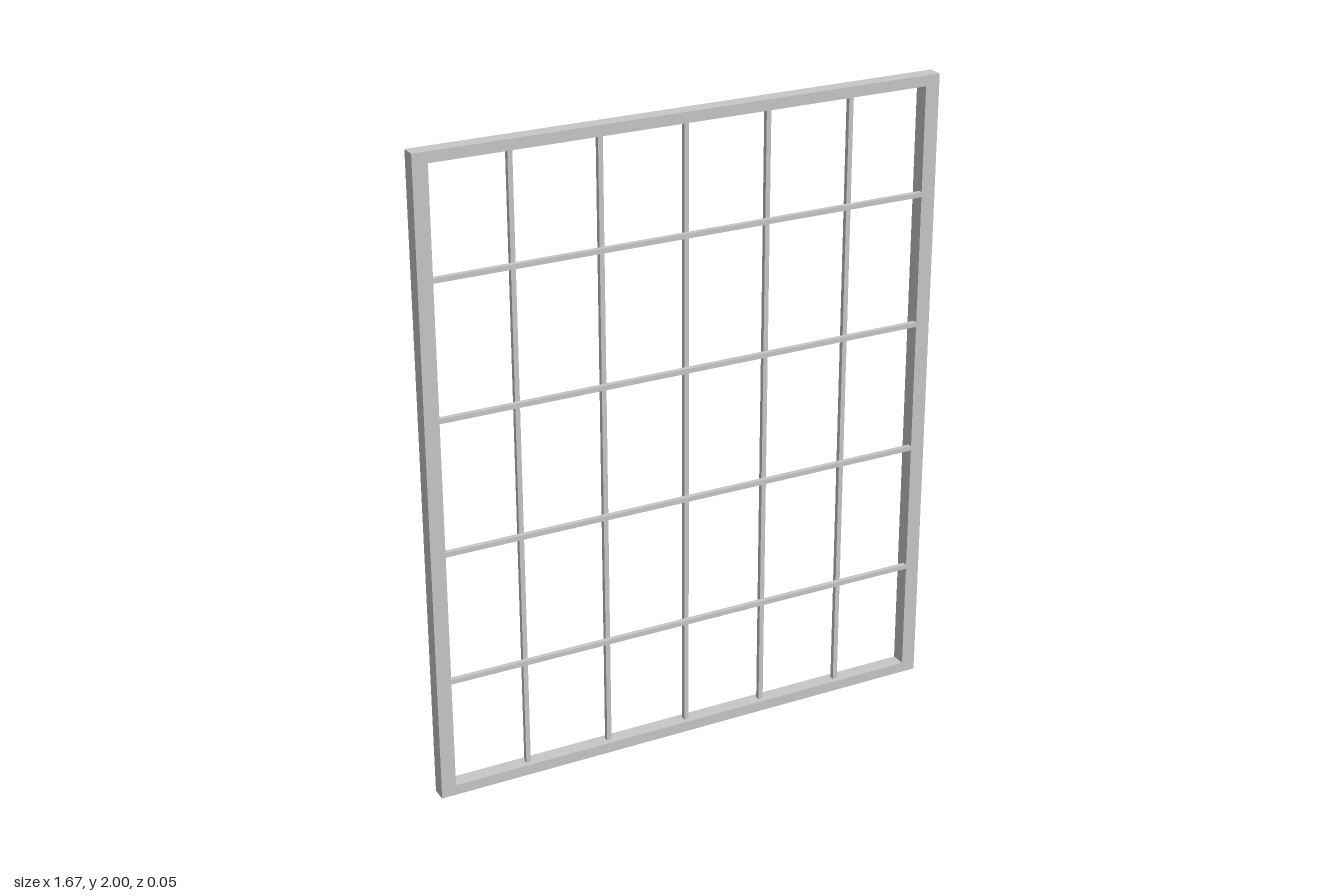
import * as THREE from 'three';

export function createModel() {
  const model = new THREE.Group();
  model.name = 'windowGrille';
  const grey = new THREE.MeshStandardMaterial({ color: 0xc8c8c8 });
  grey.name = 'lightGrey';

  const W = 0.833, H = 2, D = 0.048;   // half width, height, depth
  const stile = 0.046, rail = 0.033, bar = 0.015;
  const inner = W - stile;

  function box(name, w, h, d, x, y, z) {
    const mesh = new THREE.Mesh(new THREE.BoxGeometry(w, h, d), grey);
    mesh.name = name;
    mesh.position.set(x, y, z);
    model.add(mesh);
  }

  // Outer frame
  box('leftStile', stile, H, D, W - stile / 2, H / 2, 0);
  box('rightStile', stile, H, D, -W + stile / 2, H / 2, 0);
  box('topRail', inner * 2, rail, D, 0, H - rail / 2, 0);
  box('bottomRail', inner * 2, rail, D, 0, rail / 2, 0);

  // Thin glazing bars: horizontals near the front, verticals just behind them
  const frontZ = D / 2 - bar / 2 - 0.001;
  for (const x of [-0.542, -0.269, 0, 0.266, 0.541])
    box('verticalBar', bar, H - rail * 2, bar, x, H / 2, frontZ - bar);
  for (const y of [0.384, 0.8, 1.216, 1.633])
    box('horizontalBar', inner * 2, bar, bar, 0, y, frontZ);

  return model;
}
